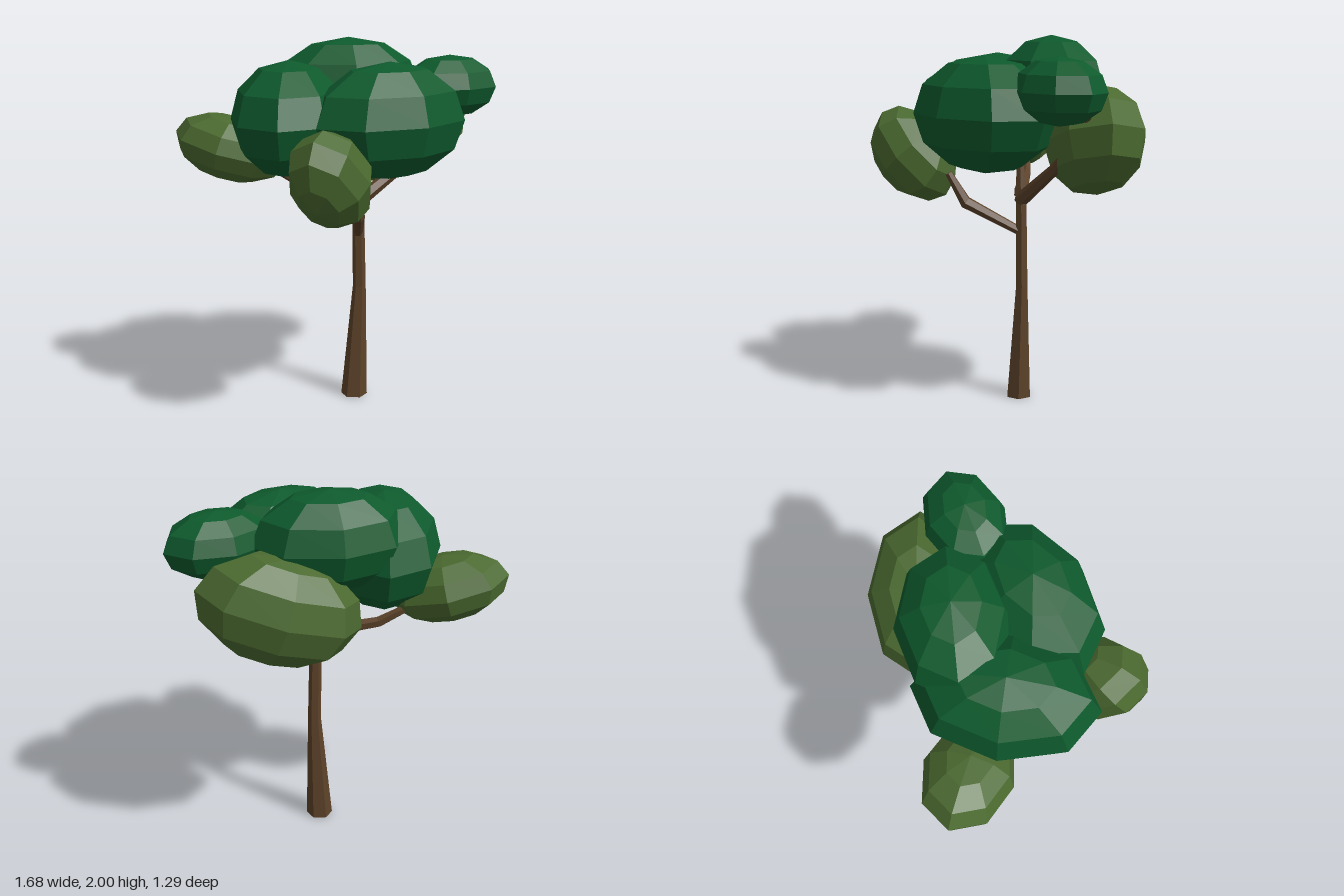
import * as THREE from 'three';

const V = (p) => new THREE.Vector3(...p);
const paint = (color) => new THREE.MeshStandardMaterial({ color, flatShading: true });

// Low-poly ellipsoid whose local x axis points along `axis`, z staying horizontal
function foliage(name, material, centre, radii, axis) {
  const a = V(axis).normalize();
  const mesh = new THREE.Mesh(new THREE.SphereGeometry(1, 8, 6), material);
  mesh.name = name;
  mesh.position.set(...centre);
  mesh.scale.set(...radii);
  mesh.rotation.set(0, Math.atan2(-a.z, a.x), Math.asin(a.y), 'YZX');
  return mesh;
}

// Tapered six-sided limb lofted through [x, y, z, radius] stations
function limb(name, material, stations, level = false) {
  const sides = 6, n = stations.length, pos = [], index = [];
  const pts = stations.map((s) => V(s.slice(0, 3)));
  const up = new THREE.Vector3(0, 1, 0);
  pts.forEach((p, i) => {
    const dir = pts[Math.min(i + 1, n - 1)].clone().sub(pts[Math.max(i - 1, 0)]).normalize();
    const q = new THREE.Quaternion().setFromUnitVectors(up, level ? up : dir);
    for (let k = 0; k < sides; k++) {
      const t = (k / sides) * Math.PI * 2;
      const r = stations[i][3];
      const v = new THREE.Vector3(Math.sin(t) * r, 0, Math.cos(t) * r).applyQuaternion(q).add(p);
      pos.push(v.x, v.y, v.z);
    }
  });
  for (let i = 0; i < n - 1; i++) {
    for (let k = 0; k < sides; k++) {
      const a = i * sides + k, b = i * sides + ((k + 1) % sides);
      index.push(a, b, b + sides, a, b + sides, a + sides);
    }
  }
  // End caps
  const last = (n - 1) * sides;
  for (let k = 1; k < sides - 1; k++) {
    index.push(0, k + 1, k, last, last + k, last + k + 1);
  }
  const geometry = new THREE.BufferGeometry();
  geometry.setAttribute('position', new THREE.Float32BufferAttribute(pos, 3));
  geometry.setIndex(index);
  geometry.computeVertexNormals();
  const mesh = new THREE.Mesh(geometry, material);
  mesh.name = name;
  return mesh;
}

export function createModel() {
  const tree = new THREE.Group();
  tree.name = 'tree';
  const bark = paint(0x5c4229), dark = paint(0x0e5a2d), olive = paint(0x4b6a30);

  // Trunk and branches
  tree.add(
    limb('trunk', bark, [
      [0.01, 0, -0.04, 0.073], [0.043, 0.64, -0.04, 0.036], [0.035, 1.1, -0.04, 0.033],
      [0.015, 1.3, -0.045, 0.024], [0, 1.5, -0.06, 0.015],
    ], true),
    limb('leftBranch', bark, [
      [0.03, 1.12, -0.04, 0.04], [0.35, 1.32, -0.05, 0.03], [0.69, 1.65, -0.06, 0.012],
    ]),
    limb('backBranch', bark, [
      [0.03, 1.16, -0.04, 0.04], [-0.24, 1.23, -0.23, 0.03], [-0.48, 1.38, -0.37, 0.015],
    ]),
    limb('frontBranch', bark, [
      [0.03, 0.95, -0.03, 0.025], [-0.1, 1.11, 0.23, 0.035], [-0.14, 1.27, 0.31, 0.02],
    ]),
  );

  // Upper canopy
  tree.add(
    foliage('frontCanopy', dark, [0.09, 1.595, 0.21], [0.465, 0.305, 0.31], [0.98, 0, -0.19]),
    foliage('rightCanopy', dark, [-0.34, 1.595, -0.1], [0.465, 0.305, 0.31], [0.5, 0, -0.866]),
    foliage('topCanopy', dark, [0.06, 1.74, -0.21], [0.4, 0.26, 0.285], [0.96, 0, 0.28]),
    foliage('leftCanopy', dark, [0.55, 1.735, 0.045], [0.29, 0.17, 0.21], [1, 0, 0]),
  );

  // Lower tilted clumps
  tree.add(
    foliage('backLeftClump', olive, [0.385, 1.46, -0.275], [0.43, 0.28, 0.27], [0.88, 0.3, 0.35]),
    foliage('frontRightClump', olive, [-0.345, 1.36, 0.42], [0.29, 0.21, 0.21], [-0.5, 0.75, 0.42]),
    foliage('backRightClump', olive, [-0.57, 1.415, -0.385], [0.32, 0.175, 0.23], [-0.74, 0.25, -0.6]),
  );
  return tree;
}
